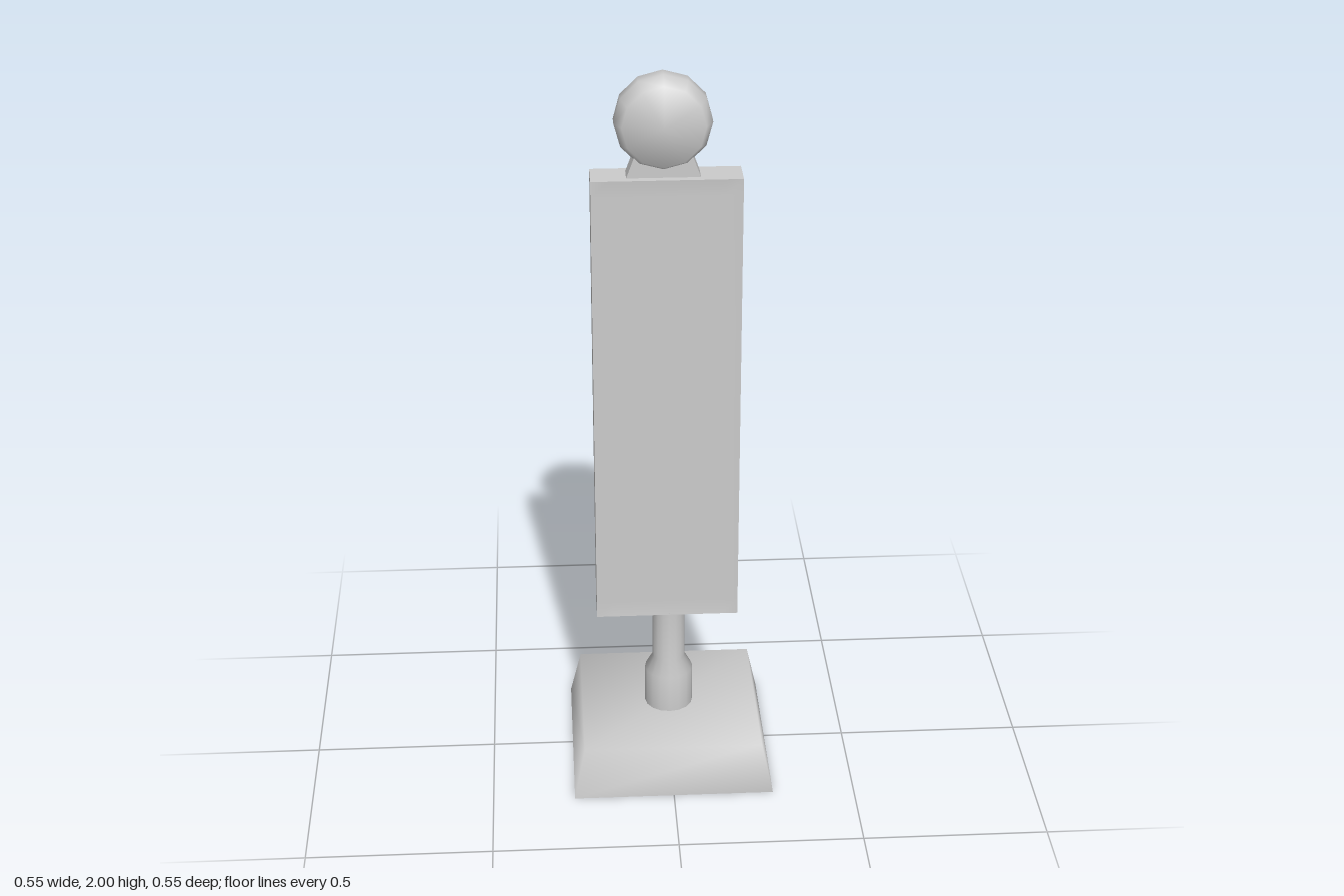
import * as THREE from 'three';
import { mergeVertices } from 'three/addons/utils/BufferGeometryUtils.js';

const material = new THREE.MeshStandardMaterial({ color: 0xcccccc });

function part(name, geometry, x = 0, y = 0, z = 0) {
  const mesh = new THREE.Mesh(geometry, material);
  mesh.name = name;
  mesh.position.set(x, y, z);
  return mesh;
}

// Box whose top is scaled, with soft shading over the top and sides, open below
function softFrustum(bottom, top, height) {
  const box = new THREE.BoxGeometry(bottom, height, bottom);
  const p = box.attributes.position;
  for (let i = 0; i < p.count; i++) {
    const k = p.getY(i) > 0 ? top / bottom : 1;
    p.setXYZ(i, p.getX(i) * k, p.getY(i), p.getZ(i) * k);
  }
  const index = Array.from(box.index.array);
  index.splice(18, 6); // drop the underside
  box.setIndex(index);
  box.clearGroups();
  box.deleteAttribute('normal');
  box.deleteAttribute('uv');
  const soft = mergeVertices(box);
  soft.computeVertexNormals();
  return soft;
}

// Panel box with a shallow, softly shaded recess on the front and back
function panelGeometry(w, h, d, border, depth) {
  const geo = new THREE.BoxGeometry(w, h, d, 3, 3, 1);
  const p = geo.attributes.position;
  const snap = (v, size) => (Math.abs(v) < size * 0.4 ? Math.sign(v) * (size / 2 - border) : v);
  for (let i = 0; i < p.count; i++) {
    const x = p.getX(i), y = p.getY(i), z = p.getZ(i);
    const inner = Math.abs(x) < w * 0.4 && Math.abs(y) < h * 0.4;
    p.setXYZ(i, snap(x, w), snap(y, h), inner ? z - Math.sign(z) * depth : z);
  }
  geo.computeVertexNormals();
  return geo;
}

export function createModel() {
  const model = new THREE.Group();

  // Sloped square base and its flat underside
  const base = new THREE.Group();
  base.name = 'base';
  base.add(part('baseBody', softFrustum(0.55, 0.49, 0.14), 0, 0.07, 0));
  base.add(part('baseUnderside', new THREE.PlaneGeometry(0.55, 0.55).rotateX(Math.PI / 2)));
  model.add(base);

  // Stepped post
  const postProfile = [[0.067, 0.14], [0.067, 0.25], [0.045, 0.29], [0.045, 0.45]]
    .map(([r, y]) => new THREE.Vector2(r, y));
  model.add(part('post', new THREE.LatheGeometry(postProfile, 16)));

  // Tall panel
  model.add(part('panel', panelGeometry(0.39, 1.285, 0.094, 0.045, 0.004), -0.006, 1.0875, -0.002));

  // Tapered neck
  const neckShape = new THREE.Shape([[-0.096, 0], [0.096, 0], [0.073, 0.062], [-0.073, 0.062]]
    .map(([x, y]) => new THREE.Vector2(x, y)));
  const neck = new THREE.ExtrudeGeometry(neckShape, { depth: 0.054, bevelEnabled: false });
  model.add(part('neck', neck, -0.014, 1.728, -0.029));

  // Flattened round head, turned about the z axis
  const headProfile = [[0, -0.0715], [0.107, -0.058], [0.126, -0.019], [0.126, 0.019], [0.107, 0.058], [0, 0.0715]]
    .map(([r, y]) => new THREE.Vector2(r, y));
  const head = new THREE.LatheGeometry(headProfile, 12).rotateX(Math.PI / 2);
  head.deleteAttribute('normal');
  head.deleteAttribute('uv');
  const softHead = mergeVertices(head);
  softHead.computeVertexNormals();
  model.add(part('head', softHead, -0.014, 1.874, -0.004));

  return model;
}
